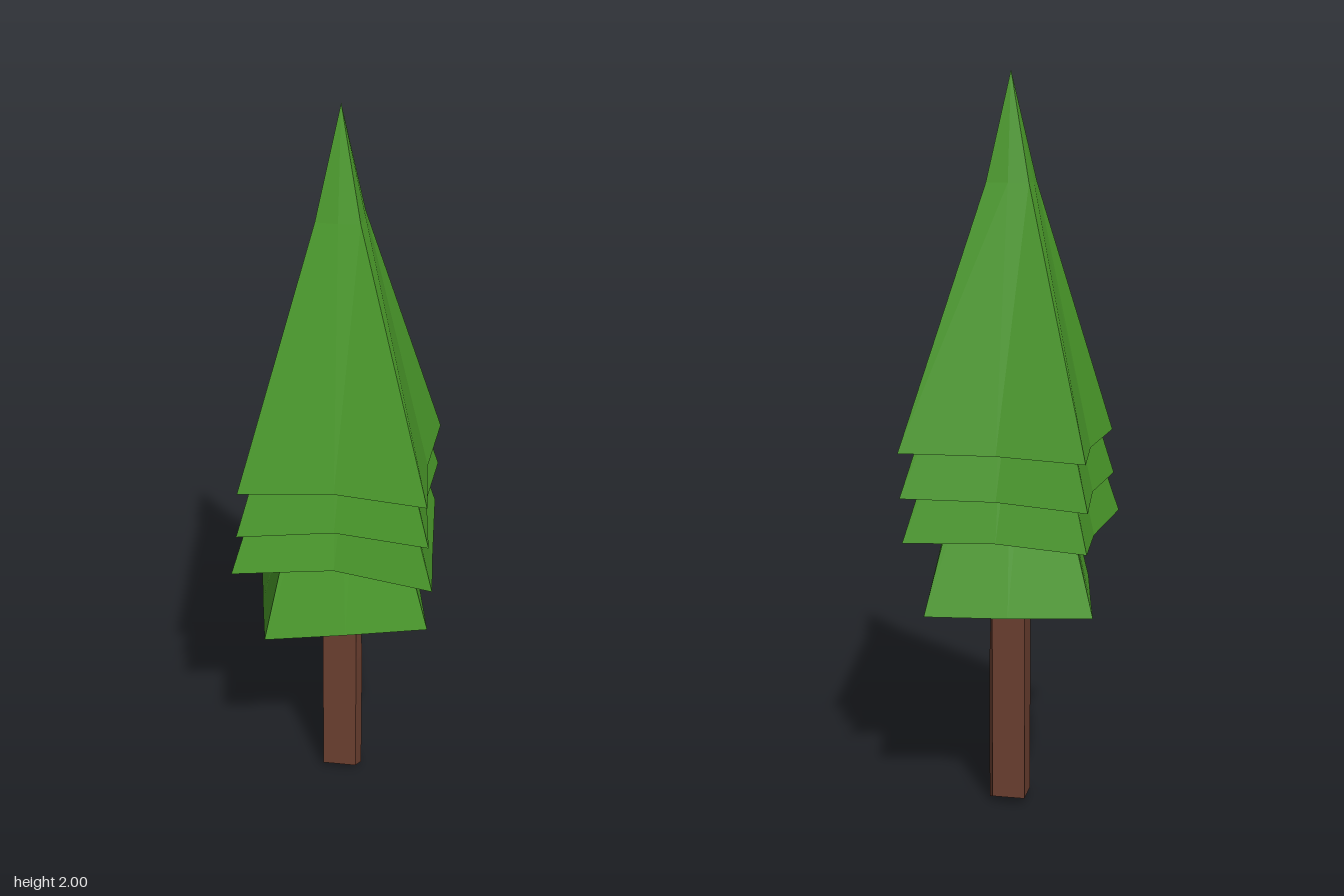
import * as THREE from 'three';

const leaf = new THREE.MeshStandardMaterial({ color: 0x4a9a2a, flatShading: true });
const bark = new THREE.MeshStandardMaterial({ color: 0x6b3f30, flatShading: true });

// Skins a stack of rings (listed bottom to top) and closes both ends with a fan
function loft(name, rings, bottom, top, material) {
  const pos = [];
  const tri = (...pts) => pts.forEach((p) => pos.push(...p));
  const n = rings[0].length;
  for (let i = 0; i < n; i++) {
    const j = (i + 1) % n;
    tri(rings[0][j], rings[0][i], bottom);
    for (let k = 0; k < rings.length - 1; k++) {
      const a = rings[k], b = rings[k + 1];
      tri(a[i], a[j], b[j]);
      tri(a[i], b[j], b[i]);
    }
    const last = rings[rings.length - 1];
    tri(last[i], last[j], top);
  }
  const geo = new THREE.BufferGeometry();
  geo.setAttribute('position', new THREE.Float32BufferAttribute(pos, 3));
  geo.computeVertexNormals();
  const mesh = new THREE.Mesh(geo, material);
  mesh.name = name;
  return mesh;
}

// Base rings: corner, mid-edge, corner... starting at the front, -x corner
const tiers = [
  { name: 'lowestBranches', tip: 1.57, ring: [
    [-0.185, 0.6, 0.225], [0.03, 0.605, 0.195], [0.25, 0.615, 0.165], [0.225, 0.61, -0.03],
    [0.197, 0.61, -0.237], [-0.02, 0.605, -0.205], [-0.24, 0.605, -0.17], [-0.215, 0.58, 0.02]] },
  { name: 'lowerBranches', tip: 1.76, ring: [
    [-0.27, 0.8, 0.213], [0, 0.815, 0.2], [0.26, 0.795, 0.248], [0.257, 0.74, 0],
    [0.257, 0.8, -0.213], [0.01, 0.81, -0.215], [-0.23, 0.8, -0.245], [-0.225, 0.79, -0.02]] },
  { name: 'middleBranches', tip: 1.88, ring: [
    [-0.255, 0.91, 0.205], [0, 0.93, 0.197], [0.247, 0.92, 0.235], [0.235, 0.92, -0.01],
    [0.262, 0.92, -0.215], [0.01, 0.92, -0.212], [-0.232, 0.91, -0.25], [-0.22, 0.91, -0.02]] },
  { name: 'topBranches', tip: 2, ring: [
    [-0.25, 1.035, 0.197], [0, 1.045, 0.195], [0.24, 1.035, 0.228], [0.235, 1.025, -0.01],
    [0.265, 1.04, -0.215], [0.01, 1.04, -0.21], [-0.225, 1.035, -0.245], [-0.213, 1.03, -0.02]] },
];

export function createModel() {
  const group = new THREE.Group();
  group.name = 'pineTree';

  // Foliage: pinched four-sided cones with a steeper tip
  for (const { name, tip, ring } of tiers) {
    const neck = ring.map(([x, , z], i) => {
      const s = i % 2 ? 0.27 : 0.23;
      return [x * s, tip - 0.28, z * s];
    });
    const baseY = ring[0][1];
    group.add(loft(name, [ring, neck], [0, baseY + 0.02, 0], [0.003, tip, -0.003], leaf));
  }

  // Trunk: slightly crooked six-sided post
  const section = [[-0.045, 0.036], [0.05, 0.036], [0.065, 0], [0.05, -0.038], [-0.04, -0.04], [-0.043, 0]];
  const feet = [0.02, 0.015, 0, 0.02, 0.02, 0.02];
  const foot = section.map(([x, z], i) => [x, feet[i], z]);
  const waist = section.map(([x, z]) => [x, 0.4, z]);
  const head = section.map(([x, z]) => [Math.min(x, 0.055), 0.68, z]);
  group.add(loft('trunk', [foot, waist, head], [0, 0.02, 0], [0, 0.68, 0], bark));

  return group;
}
